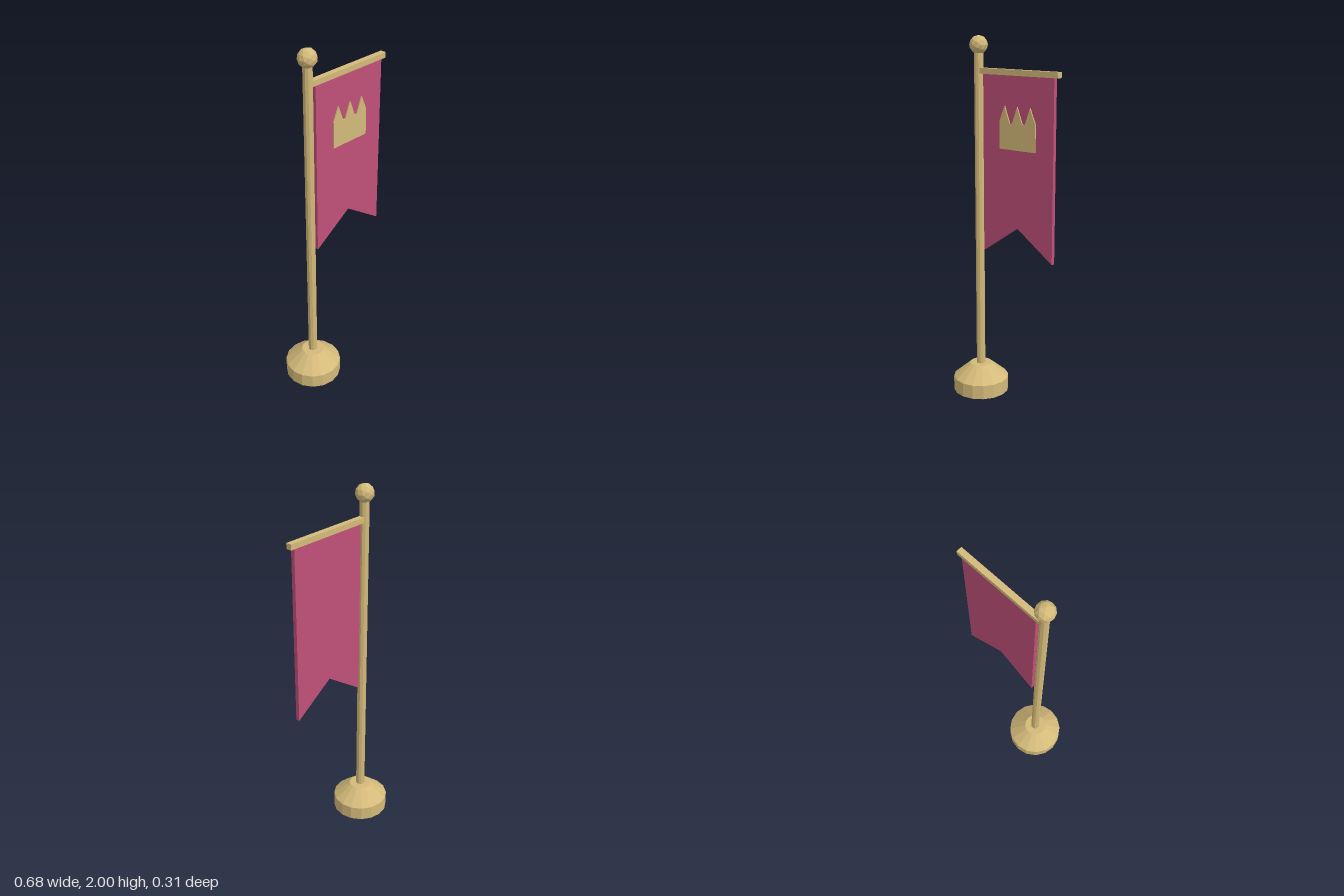
import * as THREE from 'three';

export function createModel() {
  const model = new THREE.Group();
  const gold = new THREE.MeshStandardMaterial({ color: 0xd4ba7a, flatShading: true });
  gold.name = 'gold';
  const crimson = new THREE.MeshStandardMaterial({ color: 0xc05078, flatShading: true });
  crimson.name = 'crimson cloth';

  const poleX = -0.185;
  const add = (name, geometry, material, x, y, z = 0) => {
    const mesh = new THREE.Mesh(geometry, material);
    mesh.name = name;
    mesh.position.set(x, y, z);
    model.add(mesh);
  };
  const plate = (points, depth) => new THREE.ExtrudeGeometry(
    new THREE.Shape(points.map(([x, y]) => new THREE.Vector2(x, y))),
    { depth, bevelEnabled: false });

  // Weighted foot: a drum with a sloping shoulder
  add('baseDrum', new THREE.CylinderGeometry(0.157, 0.157, 0.08, 16), gold, poleX, 0.04);
  add('baseShoulder', new THREE.CylinderGeometry(0.063, 0.157, 0.08, 16), gold, poleX, 0.12);

  // Pole with faceted ball on top
  add('pole', new THREE.CylinderGeometry(0.025, 0.025, 1.77, 10), gold, poleX, 1.035);
  add('finial', new THREE.IcosahedronGeometry(0.05, 1), gold, poleX, 1.95);

  // Arm carrying the banner
  add('crossbar', new THREE.BoxGeometry(0.515, 0.03, 0.031), gold, 0.0825, 1.817);

  // Swallow-tailed banner
  add('banner', plate([
    [-0.145, 1.805], [-0.145, 0.845], [0.085, 1.003], [0.315, 0.845], [0.315, 1.805],
  ], 0.022), crimson, 0, 0, -0.011);

  // Three-pointed crown emblem on the front only
  const crown = [[-0.117, 0], [0.117, 0], [0.117, 0.145]];
  for (const peak of [0.083, 0, -0.083]) {
    crown.push([peak, 0.225]);
    if (peak > -0.08) crown.push([peak - 0.033, 0.138], [peak - 0.05, 0.138]);
  }
  crown.push([-0.117, 0.145]);
  add('crownEmblem', plate(crown, 0.007), gold, 0.087, 1.42, 0.0105);

  return model;
}
